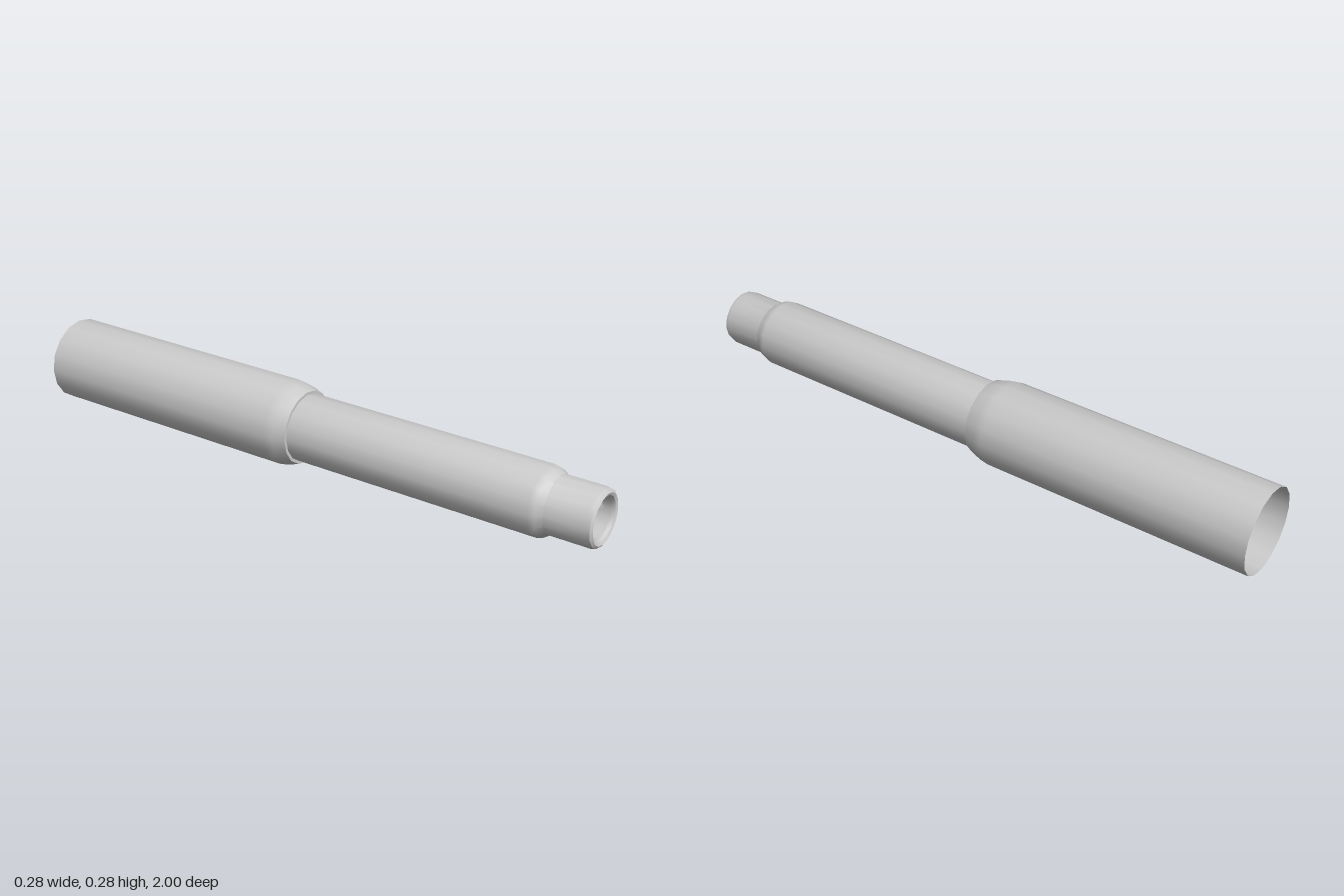
import * as THREE from 'three';
import { toCreasedNormals } from 'three/addons/utils/BufferGeometryUtils.js';

const SIDES = 16;
const AXIS_Y = 0.138;

export function createModel() {
  const model = new THREE.Group();
  const body = new THREE.Group();
  body.name = 'tubeBody';
  body.position.y = AXIS_Y;
  model.add(body);

  const material = new THREE.MeshStandardMaterial({ color: 0xcccccc, side: THREE.DoubleSide });

  const add = (name, geometry) => {
    const mesh = new THREE.Mesh(geometry, material);
    mesh.name = name;
    body.add(mesh);
    return mesh;
  };

  // Profile of [radius, z] points turned around the z axis
  const turned = (points) => {
    const g = new THREE.LatheGeometry(points.map(([r, z]) => new THREE.Vector2(r, z)), SIDES);
    g.rotateX(Math.PI / 2);
    return toCreasedNormals(g, 0.6);
  };

  // Wide rear sleeve, open at the back, with a rounded shoulder and a front lip
  add('rearSleeve', turned([
    [0.138, -1], [0.138, -0.1], [0.133, -0.07], [0.12, -0.03], [0.11, -0.03],
  ]));

  // Narrow barrel stepping down to the nozzle with a bevelled rim
  add('frontBarrel', turned([
    [0.11, -0.03], [0.11, 0.81], [0.105, 0.83], [0.092, 0.85],
    [0.092, 0.98], [0.088, 0.994], [0.08, 1], [0.071, 0.996], [0.068, 0.985],
  ]));

  // Bore inside the nozzle, closed by a flat floor
  add('nozzleBore', turned([[0.068, 0.985], [0.068, 0.8], [0, 0.8]]));

  // Four sloping ribs inside the bore, rising toward the floor
  const rib = new THREE.Shape();
  rib.moveTo(0.8, 0.067);
  rib.lineTo(0.96, 0.067);
  rib.lineTo(0.93, 0.056);
  rib.lineTo(0.8, 0.056);
  const ribGeometry = new THREE.ExtrudeGeometry(rib, { depth: 0.024, bevelEnabled: false });
  ribGeometry.translate(0, 0, -0.012);
  ribGeometry.rotateY(-Math.PI / 2);
  for (let i = 0; i < 4; i++) {
    add('boreRib' + (i + 1), ribGeometry).rotation.z = (i * Math.PI) / 2;
  }

  return model;
}
